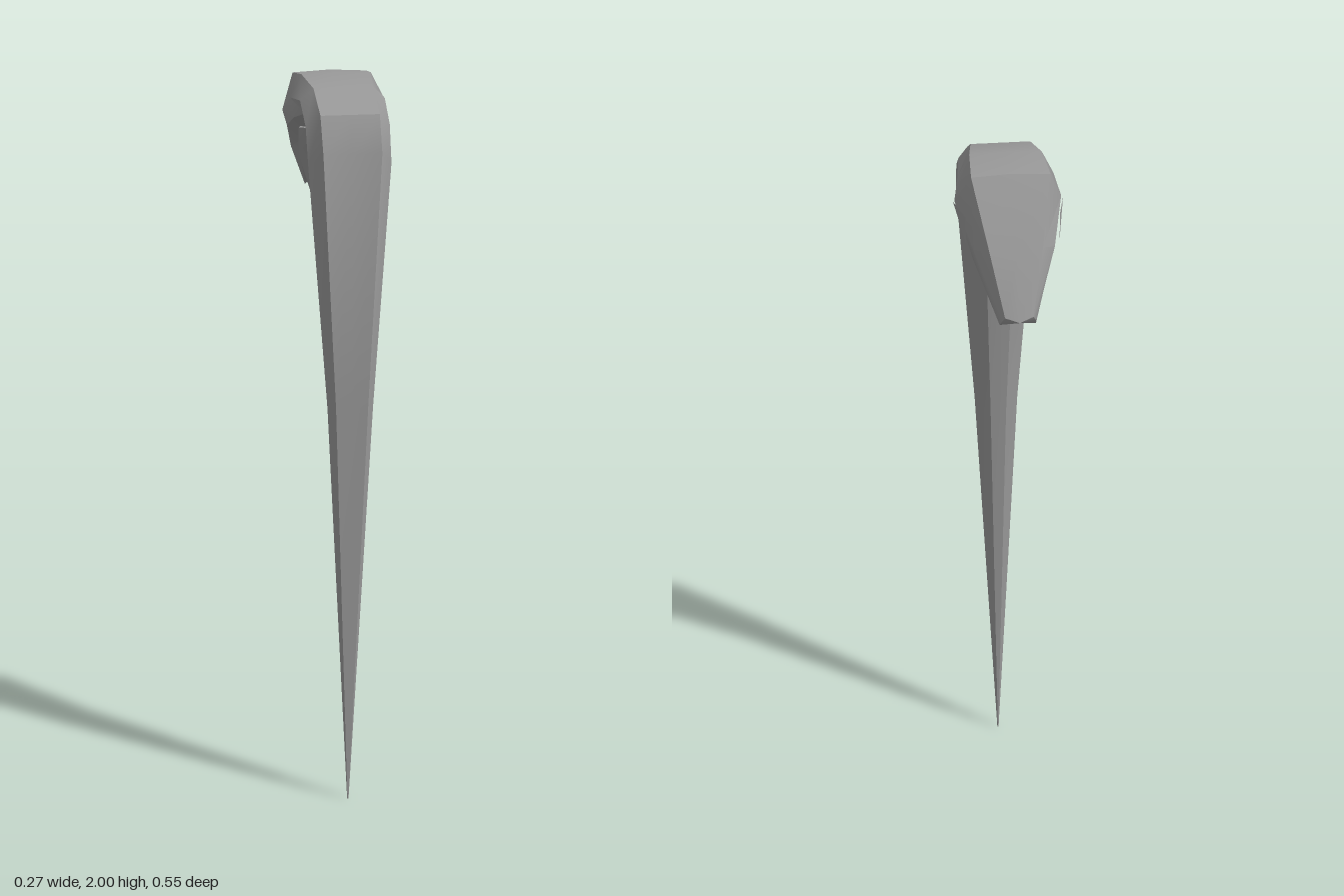
import * as THREE from 'three';
import { toCreasedNormals } from 'three/addons/utils/BufferGeometryUtils.js';

const grey = new THREE.MeshStandardMaterial({ color: 0x999999 });
grey.name = 'grey';

// Each half ring runs from a centre point (x = 0) round the +x side; it is mirrored to -x.
function mirrorRing(half) {
  const left = half.slice(1).reverse().map(([x, y, z]) => [-x, y, z]);
  return [...half, ...left];
}

// Skins a row of rings and closes both ends.
function loft(halves) {
  const rings = halves.map(mirrorRing);
  const n = rings[0].length;
  const pos = [];
  const tri = (a, b, c) => pos.push(...a, ...b, ...c);
  for (let i = 0; i < rings.length - 1; i++) {
    for (let j = 0; j < n; j++) {
      const k = (j + 1) % n;
      tri(rings[i][j], rings[i][k], rings[i + 1][k]);
      tri(rings[i][j], rings[i + 1][k], rings[i + 1][j]);
    }
  }
  const first = rings[0], last = rings[rings.length - 1];
  for (let j = 1; j < n - 1; j++) {
    tri(first[0], first[j + 1], first[j]);
    tri(last[0], last[j], last[j + 1]);
  }
  const g = new THREE.BufferGeometry();
  g.setAttribute('position', new THREE.Float32BufferAttribute(pos, 3));
  return toCreasedNormals(g, 0.65);
}

// Half octagon between an outer and an inner point in the middle plane.
function bodyRing([oz, oy, iz, iy, w]) {
  const at = (x, t) => [x * w, oy + (iy - oy) * t, oz + (iz - oz) * t];
  return [at(0, 0), at(0.7, 0), at(1, 0.33), at(0.86, 0.7), at(0.36, 1)];
}

function part(name, geometry) {
  const mesh = new THREE.Mesh(geometry, grey);
  mesh.name = name;
  return mesh;
}

export function createModel() {
  const model = new THREE.Group();
  model.name = 'serpentCane';

  // Tapering shaft and bent neck: outer z, y, inner z, y, half width
  const body = [
    [0.226, 0, 0.221, 0, 0.002],
    [0.275, 1.18, 0.19, 1.16, 0.06],
    [0.275, 1.84, 0.143, 1.74, 0.105],
    [0.233, 1.93, 0.13, 1.83, 0.106],
    [0.13, 1.98, 0.095, 1.885, 0.108],
  ].map(bodyRing);

  // Skull, brow and snout: centre, top edge, brow side, lip side, palate
  const head = [
    [[0, 2, 0.02], [0.09, 1.998, 0.02], [0.12, 1.94, 0.02], [0.112, 1.89, 0.03], [0.05, 1.865, 0.045]],
    [[0, 1.99, -0.09], [0.097, 1.985, -0.09], [0.133, 1.9, -0.03], [0.122, 1.86, -0.025], [0.07, 1.83, -0.02]],
    [[0, 1.82, -0.21], [0.066, 1.84, -0.195], [0.1, 1.825, -0.16], [0.098, 1.785, -0.125], [0.075, 1.765, -0.1]],
    [[0, 1.68, -0.275], [0.035, 1.69, -0.265], [0.042, 1.675, -0.255], [0.045, 1.657, -0.235], [0.035, 1.69, -0.185]],
  ];
  model.add(part('shaftAndHead', loft([...body, ...head])));

  // Open lower jaw: front z, y, back z, y, half width
  const jaw = [
    [-0.02, 1.86, 0.09, 1.87, 0.1],
    [-0.022, 1.8, 0.02, 1.79, 0.095],
    [-0.03, 1.75, 0, 1.735, 0.08],
    [-0.062, 1.68, -0.037, 1.66, 0.055],
    [-0.088, 1.625, -0.09, 1.617, 0.015],
  ].map(([fz, fy, bz, by, w]) => [
    [0, fy, fz],
    [w * 0.85, fy, fz],
    [w, (fy + by) / 2, (fz + bz) / 2],
    [w * 0.55, by, bz],
  ]);
  model.add(part('lowerJaw', loft(jaw)));

  for (const s of [1, -1]) {
    // Fang swept back from the snout
    const fang = part('fang', new THREE.ConeGeometry(0.014, 0.1, 4));
    fang.position.set(s * 0.03, 1.672, -0.167);
    fang.rotation.x = Math.PI / 2;
    model.add(fang);

    // Slanted eye under the brow
    const corners = [[0.137, 1.9, -0.035], [0.116, 1.9, -0.13], [0.115, 1.83, -0.135]];
    const order = s > 0 ? corners.slice().reverse() : corners;
    const eyeGeo = new THREE.BufferGeometry();
    eyeGeo.setAttribute('position', new THREE.Float32BufferAttribute(
      order.flatMap(([x, y, z]) => [s * x, y, z]), 3));
    eyeGeo.computeVertexNormals();
    // Keep the face turned outward
    if (eyeGeo.attributes.normal.getX(0) * s < 0) {
      eyeGeo.setIndex([0, 2, 1]);
      eyeGeo.computeVertexNormals();
    }
    model.add(part('eye', eyeGeo));
  }
  return model;
}
